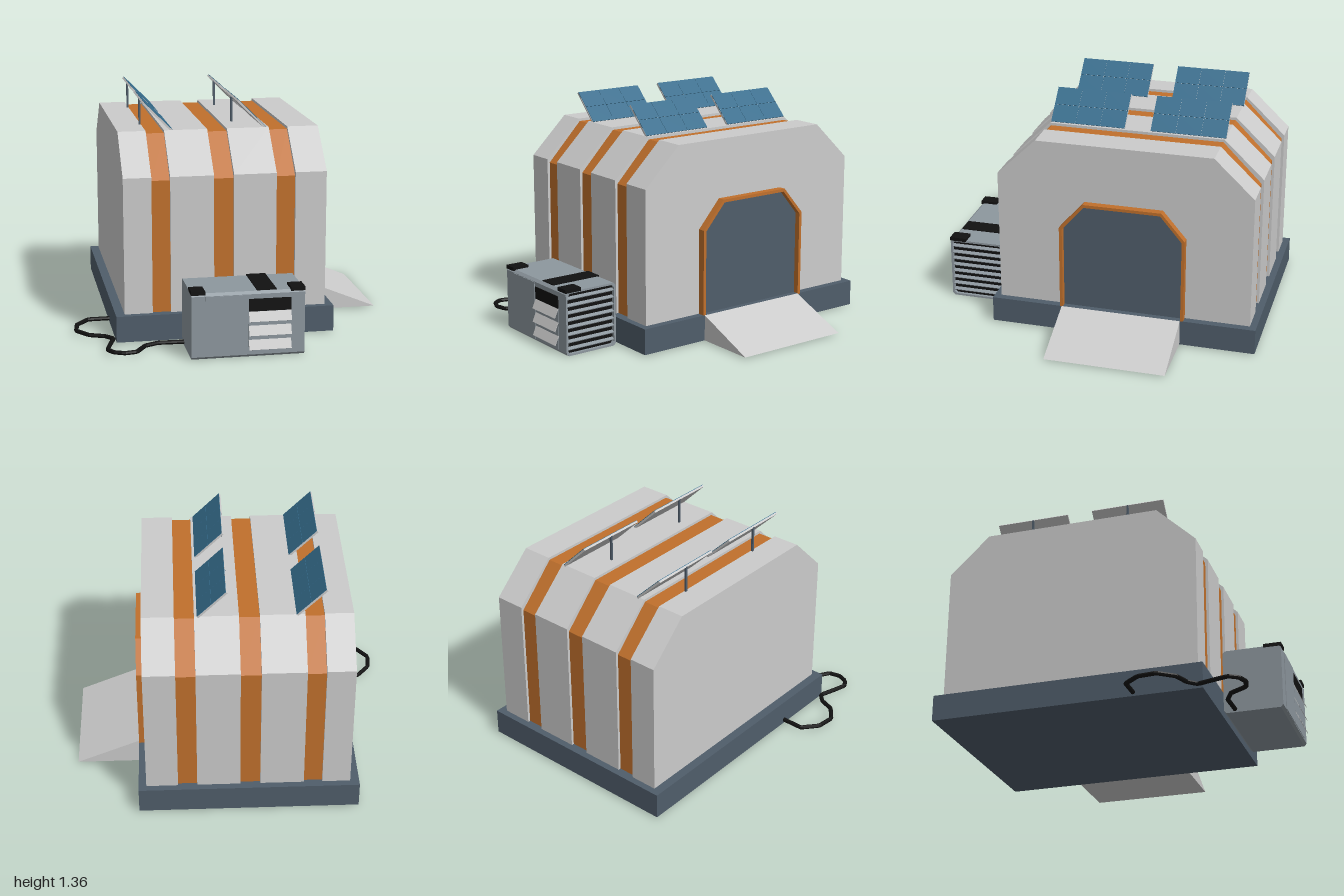
import * as THREE from 'three';

const mat = (color) => new THREE.MeshStandardMaterial({ color, flatShading: true, side: THREE.DoubleSide });

export function createModel() {
  const root = new THREE.Group();
  const grey = mat(0xcccccc), slate = mat(0x4f5d6a), orange = mat(0xc0702c);
  const steel = mat(0x8d979e), black = mat(0x111111), blue = mat(0x356c8c);

  const add = (parent, name, geo, material) => {
    const mesh = new THREE.Mesh(geo, material);
    mesh.name = name;
    parent.add(mesh);
    return mesh;
  };
  const group = (name) => {
    const g = new THREE.Group();
    g.name = name;
    root.add(g);
    return g;
  };
  // box from its min and max limits on each axis
  const box = (parent, name, [x0, x1], [y0, y1], [z0, z1], material) => {
    const geo = new THREE.BoxGeometry(x1 - x0, y1 - y0, z1 - z0);
    geo.translate((x0 + x1) / 2, (y0 + y1) / 2, (z0 + z1) / 2);
    return add(parent, name, geo, material);
  };
  // extrude a [z, y] outline along x, from x0 to x1
  const loop = (pts) => pts.map(([z, y]) => new THREE.Vector2(-z, y));
  const prismX = (pts, x0, x1, hole) => {
    const shape = new THREE.Shape(loop(pts));
    if (hole) shape.holes.push(new THREE.Path(loop(hole)));
    const geo = new THREE.ExtrudeGeometry(shape, { depth: x1 - x0, bevelEnabled: false });
    return geo.rotateY(Math.PI / 2).translate(x0, 0, 0);
  };

  // foundation
  box(root, 'foundation', [-0.72, 0.57], [0.01, 0.165], [-1, 0.61], slate);

  // hall: grey bays standing proud of recessed orange bands
  const hall = group('hall');
  const section = (d) => [
    [0.57 - d, 0.16], [0.57 - d, 0.97 - d * 1.4], [0.335 - d * 0.4, 1.198 - d],
    [-0.72 + d * 0.4, 1.198 - d], [-0.96 + d, 0.97 - d * 1.4], [-0.96 + d, 0.16],
  ];
  [[-0.667, -0.503], [-0.395, -0.14], [-0.023, 0.228], [0.34, 0.525]].forEach(([a, b]) =>
    add(hall, 'wallBay', prismX(section(0), a, b), grey));
  [[-0.503, -0.395], [-0.14, -0.023], [0.228, 0.34]].forEach(([a, b]) =>
    add(hall, 'orangeBand', prismX(section(0.016), a, b), orange));

  // doorway with angled top
  const door = group('doorway');
  const arch = (d) => [
    [0.185 - d, 0.16], [0.185 - d, 0.68 - d * 0.4], [0.04 - d * 0.4, 0.845 - d],
    [-0.43 + d * 0.4, 0.845 - d], [-0.57 + d, 0.68 - d * 0.4], [-0.57 + d, 0.16],
  ];
  add(door, 'doorFrame', prismX(arch(0), 0.52, 0.57, arch(0.018)), orange);
  add(door, 'doorPanel', prismX(arch(0.018), 0.52, 0.535), slate);

  // ramp wedge
  const wedge = new THREE.Shape([[0.57, 0.01], [0.945, 0.01], [0.57, 0.165]].map((p) => new THREE.Vector2(...p)));
  add(root, 'ramp', new THREE.ExtrudeGeometry(wedge, { depth: 0.725, bevelEnabled: false }).translate(0, 0, -0.55), grey);

  // four tilted solar panels
  for (const x of [-0.51, 0.047]) {
    for (const z of [-0.5, 0.108]) {
      const solar = group('solarPanel');
      box(solar, 'panelPost', [x - 0.006, x + 0.006], [1.19, 1.355], [z - 0.006, z + 0.006], slate);
      const tilt = new THREE.Group();
      tilt.name = 'tiltedPanel';
      tilt.position.set(x + 0.08, 1.277, z);
      tilt.rotation.z = -Math.PI / 4;
      solar.add(tilt);
      box(tilt, 'panelBacking', [-0.115, 0.115], [-0.007, 0.005], [-0.226, 0.226], grey);
      for (let i = 0; i < 2; i++) {
        for (let j = 0; j < 3; j++) {
          const u = -0.114 + i * 0.115, v = -0.225 + j * 0.1505;
          box(tilt, 'solarCell', [u, u + 0.113], [0.005, 0.008], [v, v + 0.149], blue);
        }
      }
    }
  }

  // generator cabinet with chamfered long edges
  const gen = group('generator');
  const c = 0.015;
  const cabinet = (d) => {
    const z0 = 0.63 + d, z1 = 0.973 - d, y0 = 0.003 + d, y1 = 0.387 - d;
    return [[z0 + c, y0], [z1 - c, y0], [z1, y0 + c], [z1, y1 - c],
      [z1 - c, y1], [z0 + c, y1], [z0, y1 - c], [z0, y0 + c]];
  };
  add(gen, 'cabinetBody', prismX(cabinet(0), -0.34, 0.285), steel);
  add(gen, 'endFrame', prismX(cabinet(0), 0.285, 0.308, cabinet(0.012)), steel);
  add(gen, 'endVent', prismX(cabinet(0.012), 0.285, 0.288), black);
  for (let i = 0; i < 8; i++) {
    const slat = add(gen, 'endSlat', new THREE.BoxGeometry(0.024, 0.006, 0.32), steel);
    slat.position.set(0.296, 0.045 + i * 0.043, 0.8015);
    slat.rotation.z = -0.5;
  }
  box(gen, 'accessPanel', [-0.262, -0.025], [0.02, 0.37], [0.97, 0.977], steel);

  // front vent with three angled flaps
  box(gen, 'frontVent', [-0.015, 0.228], [0.272, 0.345], [0.97, 0.977], black);
  box(gen, 'ventBacking', [-0.015, 0.228], [0.025, 0.272], [0.97, 0.976], steel);
  for (const y of [0.245, 0.163, 0.08]) {
    const flap = add(gen, 'ventFlap', new THREE.BoxGeometry(0.243, 0.062, 0.003), grey);
    flap.position.set(0.1065, y, 0.986);
    flap.rotation.x = -0.42;
  }

  // black top strip and corner caps
  box(gen, 'topStrip', [0.035, 0.148], [0.37, 0.393], [0.637, 0.955], black);
  for (const [a, b] of [[-0.341, -0.262], [0.227, 0.309]]) {
    box(gen, 'cornerCap', [a, b], [0.38, 0.402], [0.87, 0.975], black);
  }

  // power cable lying on the ground
  const path = new THREE.CurvePath();
  const pts = [
    [-0.71, 0.21], [-0.85, 0.21], [-0.925, 0.3], [-0.937, 0.41], [-0.87, 0.5], [-0.78, 0.535],
    [-0.735, 0.585], [-0.765, 0.68], [-0.79, 0.77], [-0.76, 0.82], [-0.7, 0.845],
    [-0.63, 0.83], [-0.57, 0.73], [-0.49, 0.69], [-0.33, 0.695],
  ].map(([x, z], i) => new THREE.Vector3(x, 0.033 - i * 0.0008, z));
  for (let i = 1; i < pts.length; i++) path.add(new THREE.LineCurve3(pts[i - 1], pts[i]));
  add(root, 'powerCable', new THREE.TubeGeometry(path, 90, 0.013, 8, false), black);

  return root;
}
